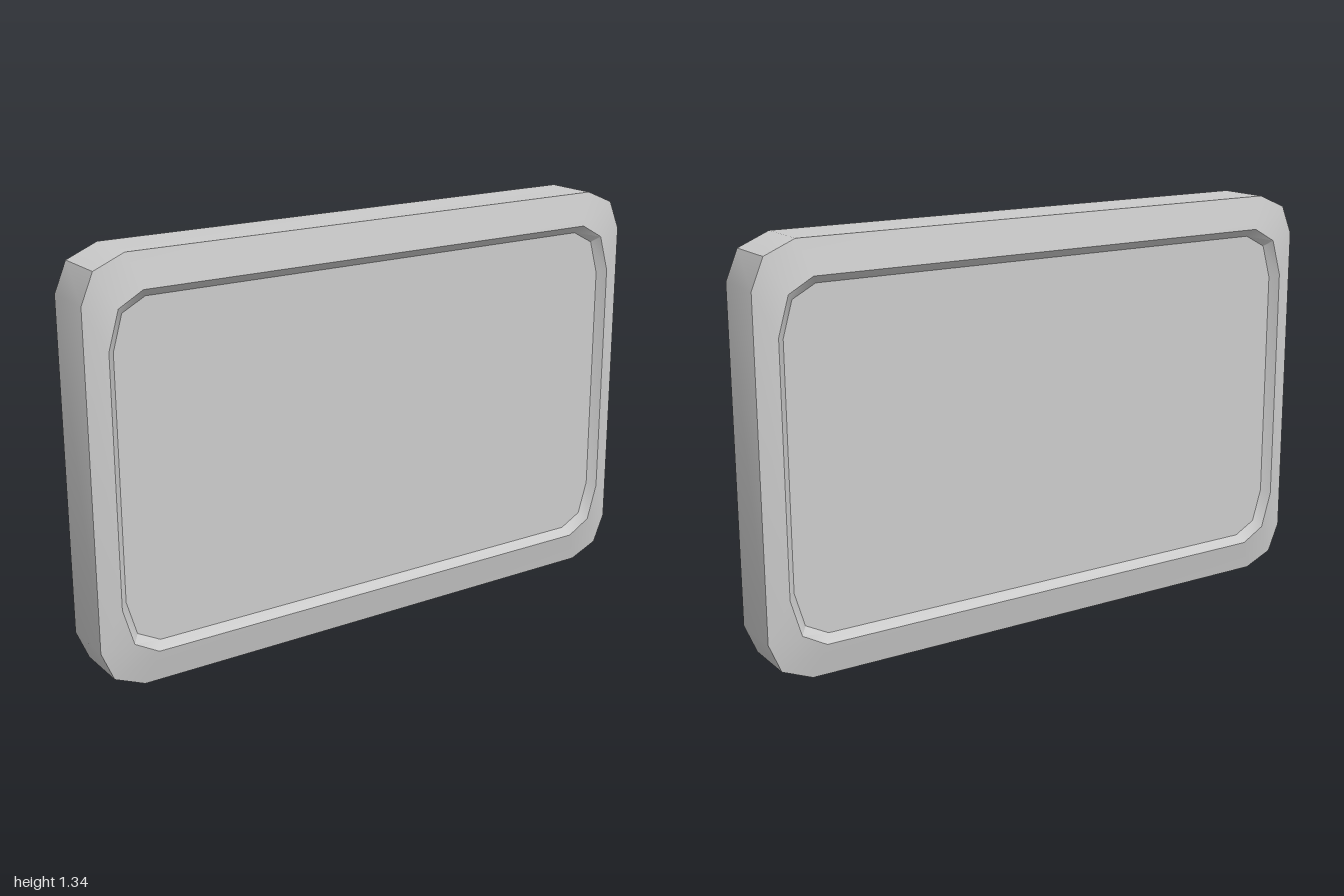
import * as THREE from 'three';
import { toCreasedNormals } from 'three/addons/utils/BufferGeometryUtils.js';

const HALF_HEIGHT = 0.6675;

// Mirror three corner points into a counter-clockwise 12-point outline
function outline(corner) {
  const flipped = [...corner].reverse();
  return [
    ...corner,
    ...flipped.map(([x, y]) => [-x, y]),
    ...corner.map(([x, y]) => [-x, -y]),
    ...flipped.map(([x, y]) => [x, -y]),
  ];
}

const outer = outline([[1, 0.53], [0.96, 0.625], [0.86, HALF_HEIGHT]]);
const rim = outline([[0.935, 0.395], [0.9, 0.515], [0.82, 0.56]]);
const floor = outline([[0.91, 0.385], [0.878, 0.495], [0.803, 0.535]]);

// Skin a row of outlines, ordered from back to front
function loft(rings) {
  const pos = [];
  for (let i = 0; i < rings.length - 1; i++) {
    const [p, z0] = rings[i], [q, z1] = rings[i + 1];
    for (let j = 0; j < p.length; j++) {
      const k = (j + 1) % p.length;
      const a = [...p[j], z0], b = [...p[k], z0], c = [...q[k], z1], d = [...q[j], z1];
      pos.push(...a, ...b, ...c, ...a, ...c, ...d);
    }
  }
  const geo = new THREE.BufferGeometry();
  geo.setAttribute('position', new THREE.Float32BufferAttribute(pos, 3));
  return toCreasedNormals(geo, THREE.MathUtils.degToRad(30));
}

export function createModel() {
  const group = new THREE.Group();
  const material = new THREE.MeshStandardMaterial({ color: 0xcccccc });
  const add = (name, geometry) => {
    const mesh = new THREE.Mesh(geometry, material);
    mesh.name = name;
    mesh.position.y = HALF_HEIGHT;
    group.add(mesh);
    return mesh;
  };

  // Frame: side wall, bevels and recess walls on both faces
  add('frame', loft([
    [floor, -0.09], [rim, -0.115], [outer, -0.09],
    [outer, 0.09], [rim, 0.115], [floor, 0.09],
  ]));

  // Flat recessed panels, front and back
  const panel = new THREE.ShapeGeometry(
    new THREE.Shape(floor.map(([x, y]) => new THREE.Vector2(x, y))));
  add('frontPanel', panel).position.z = 0.09;
  const back = add('backPanel', panel);
  back.position.z = -0.09;
  back.rotation.y = Math.PI;

  return group;
}
